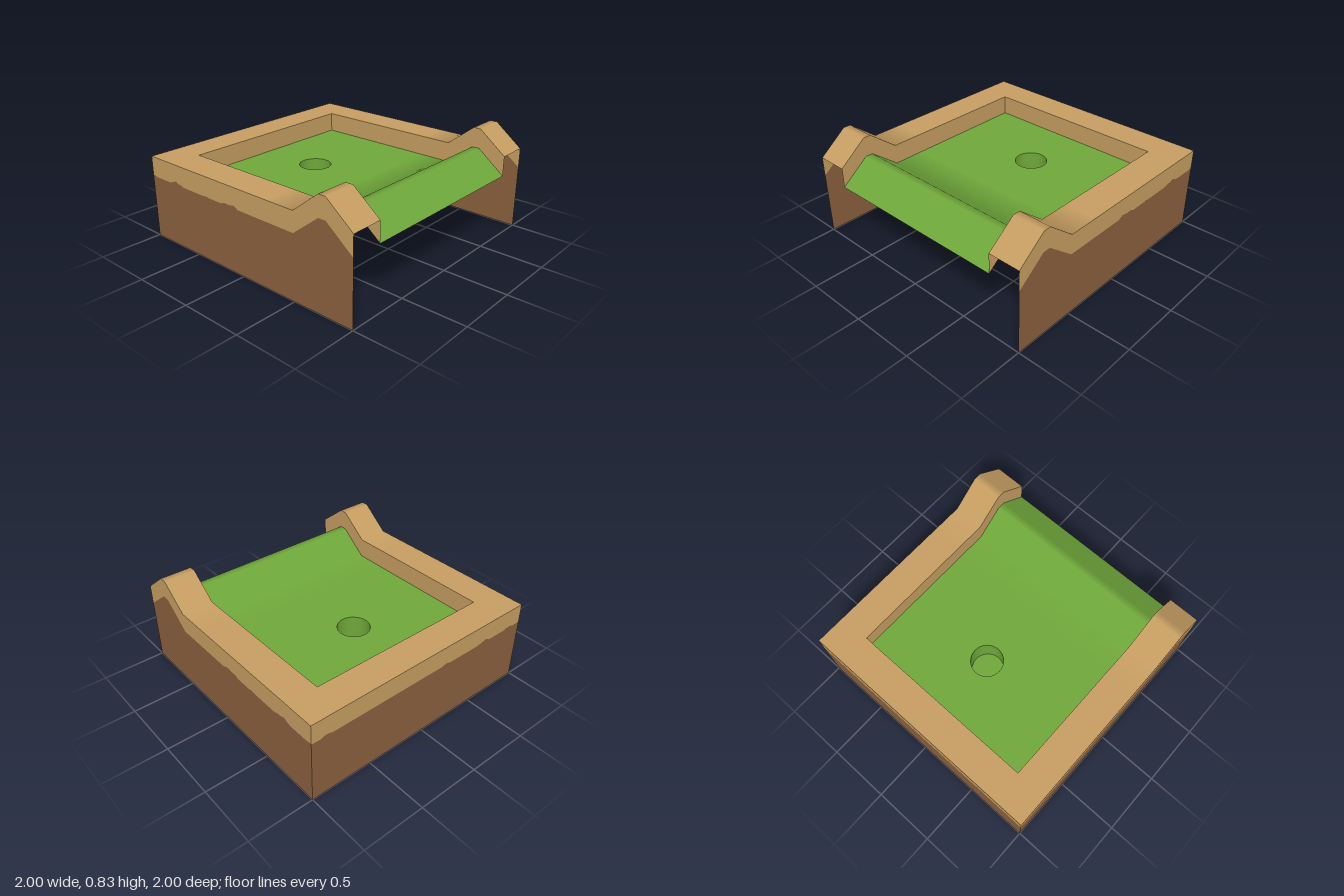
import * as THREE from 'three';

const material = (name, color) =>
  new THREE.MeshStandardMaterial({ name, color, side: THREE.DoubleSide });

// Strip of quads between two matching rows of points; normals are optional.
function ribbon(a, b, normals) {
  const pos = [], nor = [], idx = [];
  a.forEach((p, i) => {
    pos.push(...p, ...b[i]);
    if (normals) nor.push(...normals[i], ...normals[i]);
    if (i) {
      const k = 2 * i;
      idx.push(k - 2, k - 1, k, k - 1, k + 1, k);
    }
  });
  const g = new THREE.BufferGeometry();
  g.setAttribute('position', new THREE.Float32BufferAttribute(pos, 3));
  g.setIndex(idx);
  if (normals) g.setAttribute('normal', new THREE.Float32BufferAttribute(nor, 3));
  else g.computeVertexNormals();
  return g;
}

export function createModel() {
  const model = new THREE.Group();
  const wood = material('wood', 0xc59d61);
  const earth = material('earth', 0x885f3d);
  const grass = material('grass', 0x6ea63a);
  const add = (name, geometry, mat) => {
    const mesh = new THREE.Mesh(geometry, mat);
    mesh.name = name;
    model.add(mesh);
    return mesh;
  };

  const BED = 0.5, RIM = 0.157, IN = 0.75;
  // Ridge profile from front to back: z, height, and smooth normal
  const up = [0, 1, 0], front = [0, 0.79, 0.61], back = [0, 0.79, -0.61];
  const ridge = [
    [1, BED, front], [0.78, 0.673, front], [0.72, 0.673, back],
    [0.5, BED, back], [0.25, BED, up],
  ];
  const toBack = [...ridge, [-1, BED, up]];
  const toInner = [...ridge, [-IN, BED, up]];
  const row = (profile, x, dy = 0) => profile.map(([z, y]) => [x, y + dy, z]);
  const normals = (profile) => profile.map((p) => p[2]);

  // Grass: the ridge, then the flat bed with its hole
  add('grassRidge', ribbon(row(ridge, -IN), row(ridge, IN), normals(ridge)), grass);
  const bed = new THREE.Shape([
    new THREE.Vector2(-IN, -0.25), new THREE.Vector2(IN, -0.25),
    new THREE.Vector2(IN, IN), new THREE.Vector2(-IN, IN),
  ]);
  const hole = new THREE.Path();
  hole.absarc(0, 0.25, 0.125, 0, Math.PI * 2, true);
  bed.holes.push(hole);
  add('grassBed', new THREE.ShapeGeometry(bed, 16).rotateX(-Math.PI / 2), grass)
    .position.y = BED;

  // Cup below the hole
  add('cupWall', new THREE.CylinderGeometry(0.125, 0.125, 0.205, 32, 1, true), grass)
    .position.set(0, 0.3975, -0.25);
  add('cupFloor', new THREE.CircleGeometry(0.125, 32).rotateX(-Math.PI / 2), grass)
    .position.set(0, 0.295, -0.25);

  // Uneven line where the wood meets the earth on the outer side walls
  const seam = [
    ...ridge.map(([z, y]) => [z, y, y]),
    ...[[-0.03, 0], [-0.04, 0.007], [-0.07, 0.02], [-0.12, 0.012], [-0.17, 0.014],
      [-0.2, 0], [-0.34, 0], [-0.36, 0.006], [-0.4, 0], [-0.62, 0], [-0.66, 0.011],
      [-0.69, 0.012], [-0.72, 0.025], [-0.77, 0.006], [-0.79, 0], [-0.96, 0],
      [-0.98, 0.008], [-1, 0.004]].map(([z, d]) => [z, BED, BED + d]),
  ];
  for (const s of [1, -1]) {
    const side = s > 0 ? 'left' : 'right';
    const outer = (i) => seam.map((p) => [s, i < 0 ? 0 : p[2], p[0]]);
    const top = seam.map((p) => [s, p[1] + RIM, p[0]]);
    // Keep every face pointing outward on both sides
    const wall = (upper, lower) => (s > 0 ? ribbon(upper, lower) : ribbon(lower, upper));
    add(side + 'WoodBand', wall(top, outer(1)), wood);
    add(side + 'EarthWall', wall(outer(1), outer(-1)), earth);
    add(side + 'InnerRimWall',
      s > 0 ? ribbon(row(toInner, IN), row(toInner, IN, RIM))
        : ribbon(row(toInner, -IN, RIM), row(toInner, -IN)), wood);
    add(side + 'RimTop',
      ribbon(row(toBack, s > 0 ? IN : -1, RIM), row(toBack, s > 0 ? 1 : -IN, RIM),
        normals(toBack)), wood);
  }

  // Back rim and wall
  const top = BED + RIM;
  add('backRimTop', ribbon([[-IN, top, -IN], [-IN, top, -1]],
    [[IN, top, -IN], [IN, top, -1]], [up, up]), wood);
  add('backInnerRimWall', ribbon([[-IN, top, -IN], [IN, top, -IN]],
    [[-IN, BED, -IN], [IN, BED, -IN]]), wood);
  const backSeam = [
    [-1, 0.004], [-0.98, 0], [-0.92, 0], [-0.9, 0.01], [-0.86, 0.01], [-0.83, 0],
    [-0.66, 0], [-0.62, 0.02], [-0.57, 0.008], [-0.52, 0], [-0.24, 0], [-0.2, 0.012],
    [-0.15, 0], [0.83, 0], [0.86, 0.01], [0.9, 0.01], [0.92, 0], [0.98, 0], [1, 0.004],
  ];
  const seamRow = backSeam.map(([x, d]) => [x, BED + d, -1]);
  const level = (y) => backSeam.map(([x]) => [x, y, -1]);
  add('backWoodBand', ribbon(seamRow, level(top)), wood);
  add('backEarthWall', ribbon(level(0), seamRow), earth);

  return model;
}
